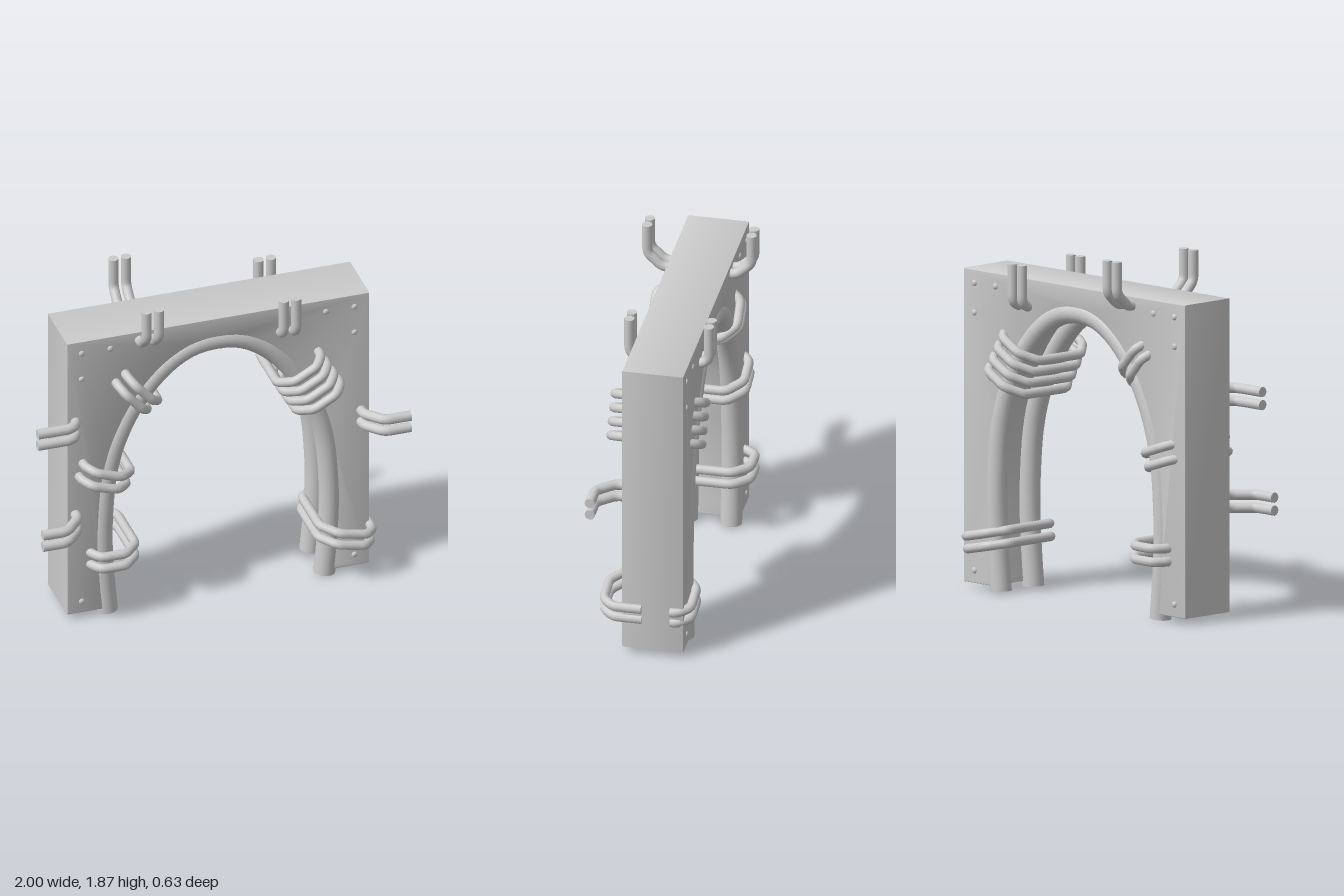
import * as THREE from 'three';
import { toCreasedNormals } from 'three/addons/utils/BufferGeometryUtils.js';

const FRONT = 0.143, BACK = -0.18; // faces of the slab
const mat = new THREE.MeshStandardMaterial({ color: 0xcccccc });
const V = (x, y, z) => new THREE.Vector3(x, y, z);

// Solid round bar along any curve, with flat end caps
function bar(name, curve, radius, segments, sides) {
  const g = new THREE.Group();
  g.name = name;
  g.add(new THREE.Mesh(new THREE.TubeGeometry(curve, segments, radius, sides), mat));
  for (const t of [0, 1]) {
    const cap = new THREE.Mesh(new THREE.CircleGeometry(radius, sides), mat);
    const dir = curve.getTangentAt(t).multiplyScalar(t ? 1 : -1);
    cap.quaternion.setFromUnitVectors(V(0, 0, 1), dir);
    cap.position.copy(curve.getPointAt(t));
    g.add(cap);
  }
  return g;
}

// Straight runs joined by short rounded bends
function bentPath(pts, bend) {
  const path = new THREE.CurvePath();
  let from = pts[0];
  for (let i = 1; i < pts.length - 1; i++) {
    const p = pts[i];
    const toward = (q) => p.clone().add(q.clone().sub(p).setLength(Math.min(bend, q.distanceTo(p) * 0.45)));
    const a = toward(pts[i - 1]), b = toward(pts[i + 1]);
    path.add(new THREE.LineCurve3(from, a));
    path.add(new THREE.QuadraticBezierCurve3(a, p, b));
    from = b;
  }
  path.add(new THREE.LineCurve3(from, pts[pts.length - 1]));
  return path;
}

// Centre line of the arch, mirrored about x = 0
function archCurve(z) {
  const half = [[0.59, 0.012], [0.607, 0.2], [0.618, 0.4], [0.615, 0.6], [0.59, 0.85],
    [0.53, 1.06], [0.42, 1.27], [0.28, 1.43], [0.14, 1.515]];
  const left = half.map(([x, y]) => V(-x, y, z));
  const right = half.map(([x, y]) => V(x, y, z)).reverse();
  return new THREE.CatmullRomCurve3([...left, V(0, 1.537, z), ...right]);
}

// Slab with the arch cut out of its lower edge
function makeSlab() {
  const shape = new THREE.Shape();
  shape.moveTo(-0.82, 0.04);
  const edge = archCurve(0).getPoints(60).filter((p) => p.y > 0.05);
  shape.lineTo(-0.61, 0.04);
  edge.forEach((p) => shape.lineTo(p.x * 1.03, p.y + 0.02 * p.y));
  shape.lineTo(0.61, 0.04);
  shape.lineTo(0.82, 0.04);
  shape.lineTo(0.82, 1.68);
  shape.lineTo(-0.82, 1.68);
  shape.closePath();
  const b = 0.006;
  const geo = new THREE.ExtrudeGeometry(shape, {
    depth: FRONT - BACK - 2 * b, bevelThickness: b, bevelSize: b, bevelOffset: -b, bevelSegments: 2,
  });
  geo.translate(0, 0, BACK + b);
  const slab = new THREE.Mesh(toCreasedNormals(geo, 0.5), mat);
  slab.name = 'slab';
  return slab;
}

// Loop from the front face, over both arch tubes through the opening, to the back face
function binding(inner, outer, zf, zb) {
  const at = (t, z) => V(
    THREE.MathUtils.lerp(inner[0], outer[0], t),
    THREE.MathUtils.lerp(inner[1], outer[1], t), z);
  const pts = [
    at(1, 0.04), at(1, zf - 0.06), at(0.82, zf), at(0.3, zf), at(0, zf - 0.08),
    at(0, zb + 0.08), at(0.3, zb), at(0.82, zb), at(1, zb + 0.06), at(1, -0.11),
  ];
  return bar('bindingLoop', bentPath(pts, 0.025), 0.025, 56, 10);
}

// Peg leaving a slab face, then turning to run up or sideways to its tip
function hook(base, tip) {
  const face = tip.z > 0 ? FRONT : BACK;
  const start = V(base[0], base[1], face - Math.sign(tip.z) * 0.04);
  const run = tip.clone().sub(V(base[0], base[1], tip.z)).normalize();
  const out = Math.abs(tip.z - face);
  const knee = V(base[0], base[1], face + Math.sign(tip.z) * out * 0.3);
  const elbow = V(base[0], base[1], tip.z).addScaledVector(run, Math.min(0.09, out * 0.65));
  return bar('hook', bentPath([start, knee, elbow, tip], 0.03), 0.027, 24, 12);
}

export function createModel() {
  const model = new THREE.Group();
  model.name = 'archway';
  model.add(makeSlab());

  // Front and back arch tubes
  model.add(bar('frontArchTube', archCurve(0.099), 0.057, 72, 20));
  model.add(bar('backArchTube', archCurve(-0.134), 0.057, 72, 20));

  // Binding loops: inner end, outer end, front reach, back reach
  const loops = [
    [[-0.445, 0.395], [-0.695, 0.395], 0.21, -0.25],
    [[-0.445, 0.325], [-0.695, 0.325], 0.21, -0.25],
    [[-0.478, 0.858], [-0.735, 0.945], 0.24, -0.21],
    [[-0.502, 0.788], [-0.755, 0.87], 0.24, -0.21],
    [[-0.33, 1.255], [-0.505, 1.445], 0.235, -0.21],
    [[-0.387, 1.212], [-0.555, 1.4], 0.235, -0.21],
    [[0.543, 0.335], [0.822, 0.275], 0.25, -0.21],
    [[0.535, 0.268], [0.812, 0.21], 0.25, -0.21],
  ];
  for (let i = 0; i < 4; i++) {
    const x = i * 0.035, y = i * 0.063;
    loops.push([[0.312 + x, 1.248 - y], [0.543 + x, 1.378 - y], 0.25, -0.21]);
  }
  loops.forEach((l) => model.add(binding(...l)));

  // Upright hooks, in pairs on both faces
  for (const [x, base, top, zf, zb] of [[-0.393, 1.633, 1.873, 0.26, -0.29], [0.373, 1.535, 1.755, 0.192, -0.228]]) {
    for (const dx of [-0.034, 0.034]) {
      for (const z of [zf, zb]) model.add(hook([x + dx, base], V(x + dx, top, z)));
    }
  }

  // Sideways hooks, in pairs on the front face
  for (const [side, y, z] of [[-1, 1.17, 0.202], [-1, 0.608, 0.288], [1, 0.943, 0.275]]) {
    for (const dy of [-0.034, 0.034]) {
      model.add(hook([side * 0.775, y + dy], V(side, y + dy, z)));
    }
  }

  // Rivets in the corners of both faces
  const rivetGeo = new THREE.SphereGeometry(0.017, 12, 8);
  for (const [x, y] of [[0.74, 1.61], [0.585, 1.61], [0.74, 1.455], [0.74, 0.107]]) {
    for (const side of [-1, 1]) {
      for (const z of [FRONT, BACK]) {
        const rivet = new THREE.Mesh(rivetGeo, mat);
        rivet.name = 'rivet';
        rivet.position.set(side * x, y, z);
        rivet.scale.z = 0.6;
        model.add(rivet);
      }
    }
  }
  return model;
}
